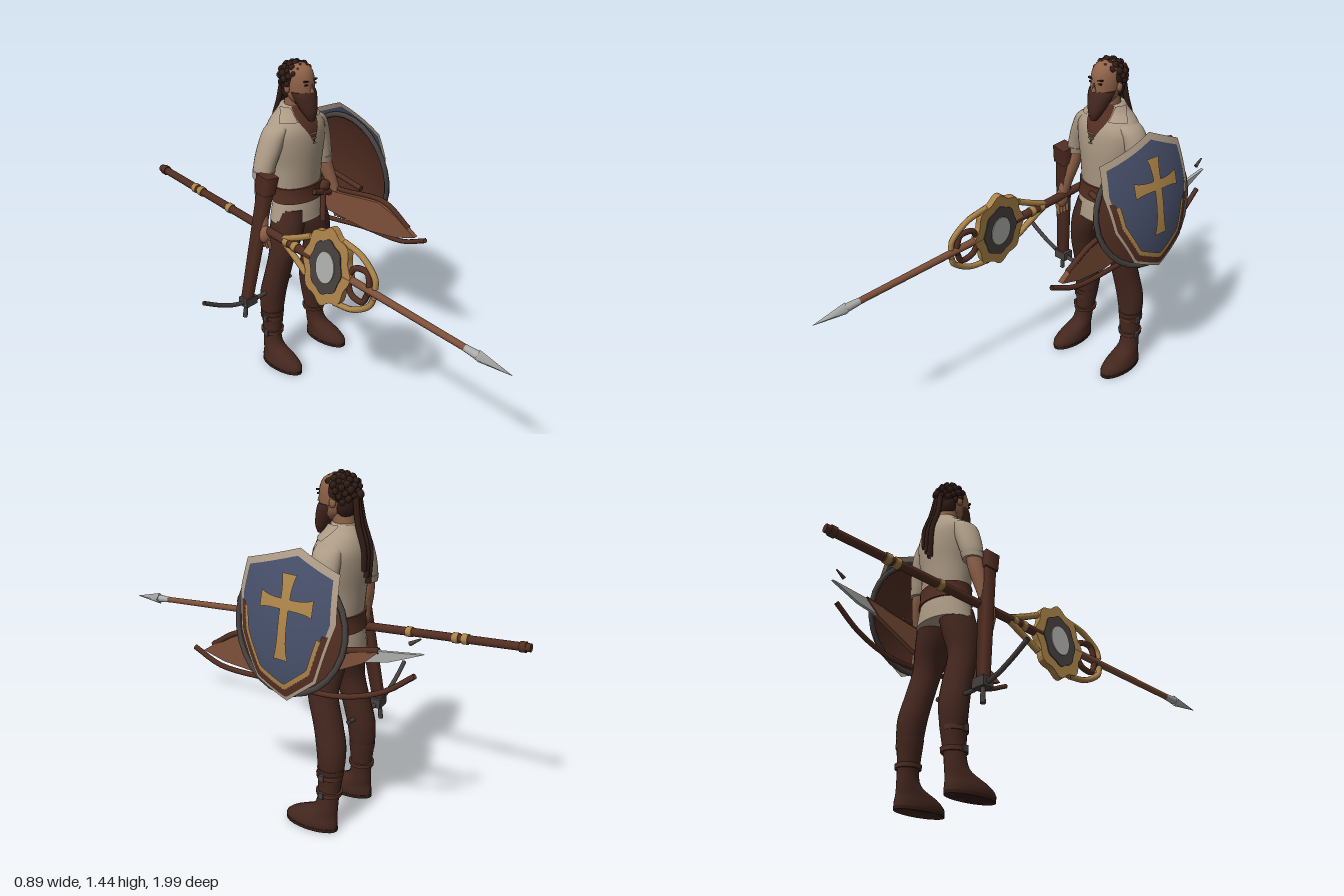
import * as THREE from 'three';
import { mergeVertices, toCreasedNormals } from 'three/addons/utils/BufferGeometryUtils.js';
import { ParametricGeometry } from 'three/addons/geometries/ParametricGeometry.js';

const V = (x, y, z) => new THREE.Vector3(x, y, z);
const CX = 0.1; // the figure's own centre line

export function createModel() {
  const root = new THREE.Group();
  const mats = {};
  const colours = {
    linen: 0xac9a85, skin: 0x8f6248, hair: 0x301c15, trouserBrown: 0x44271e, leather: 0x522e22,
    shieldBlue: 0x464f69, gold: 0xab8348, steel: 0xadadac, iron: 0x46413e, wood: 0x7d5039,
  };
  for (const k in colours) {
    mats[k] = new THREE.MeshStandardMaterial({ color: colours[k], side: THREE.DoubleSide });
    mats[k].name = k;
  }
  const add = (name, geo, mat, parent = root) => {
    const m = new THREE.Mesh(geo, mats[mat]);
    m.name = name;
    parent.add(m);
    return m;
  };

  // Smooth surface from a rule f(u, v) -> Vector3
  const sheet = (nu, nv, f) => {
    let g = new ParametricGeometry((u, v, t) => t.copy(f(u, v)), nu, nv);
    g.deleteAttribute('uv');
    g.deleteAttribute('normal');
    g = mergeVertices(g, 1e-5);
    g.computeVertexNormals();
    return toCreasedNormals(g, 1.0);
  };
  // Cross-sections [x, y, z, rx, rz], listed upwards, blended smoothly
  const profile = (secs) => {
    const a = new THREE.CatmullRomCurve3(secs.map((s) => V(s[0], s[1], s[2])), false, 'catmullrom', 0.5);
    const b = new THREE.CatmullRomCurve3(secs.map((s) => V(s[3], s[4], 0)), false, 'catmullrom', 0.5);
    return (t, angle, grow = 0) => {
      const c = a.getPoint(t), r = b.getPoint(t);
      return V(c.x + Math.cos(angle) * (r.x + grow), c.y, c.z + Math.sin(angle) * (r.y + grow));
    };
  };
  const loft = (secs, n = 20, rows = secs.length * 3, grow = 0, t0 = 0, t1 = 1) => {
    const p = profile(secs);
    return sheet(n, rows + 2, (u, v) => {
      const k = Math.round(v * (rows + 2)) - 1;
      const t = t0 + (t1 - t0) * THREE.MathUtils.clamp(k / rows, 0, 1);
      const q = p(t, -2 * Math.PI * u, grow);
      if (k < 0 || k > rows) return p(t, 0, grow).add(p(t, Math.PI, grow)).multiplyScalar(0.5);
      return q;
    });
  };
  const bar = (name, a, b, r0, r1, mat, parent = root, sides = 10) => {
    const m = add(name, new THREE.CylinderGeometry(r1, r0, a.distanceTo(b), sides), mat, parent);
    m.position.copy(a).lerp(b, 0.5);
    m.quaternion.setFromUnitVectors(V(0, 1, 0), b.clone().sub(a).normalize());
    return m;
  };
  const tube = (name, pts, r, mat, parent = root, closed = false) =>
    add(name, new THREE.TubeGeometry(new THREE.CatmullRomCurve3(pts, closed), 28, r, 7, closed), mat, parent);
  const ball = (name, p, sx, sy, sz, mat, parent = root, n = 12) => {
    const m = add(name, new THREE.SphereGeometry(1, n, Math.ceil(n * 0.7)), mat, parent);
    m.position.copy(p);
    m.scale.set(sx, sy, sz);
    return m;
  };
  const box = (name, p, w, h, d, mat, parent = root) => {
    const m = add(name, new THREE.BoxGeometry(w, h, d), mat, parent);
    m.position.copy(p);
    return m;
  };
  // Flat plate drawn in (z, y), with its thickness along x
  const plate = (name, pts, depth, mat, parent) => {
    const g = new THREE.ExtrudeGeometry(new THREE.Shape(pts.map((p) => new THREE.Vector2(...p))), { depth, bevelEnabled: false });
    g.translate(0, 0, -depth / 2).rotateY(-Math.PI / 2);
    return add(name, g, mat, parent);
  };

  // Shirt, open collar and belt
  const torso = [
    [CX, 0.74, -0.295, 0.143, 0.1], [CX, 0.8, -0.295, 0.13, 0.095], [CX, 0.87, -0.295, 0.118, 0.086],
    [CX, 0.93, -0.295, 0.121, 0.09], [CX, 1.0, -0.295, 0.127, 0.096], [CX, 1.08, -0.297, 0.143, 0.103],
    [CX, 1.15, -0.3, 0.148, 0.1], [CX, 1.195, -0.305, 0.118, 0.083], [CX, 1.225, -0.31, 0.075, 0.066], [CX, 1.25, -0.31, 0.052, 0.056],
  ];
  add('shirt', loft(torso, 32), 'linen');
  add('belt', loft(torso, 32, 6, 0.008, 1.45 / 9, 2.5 / 9), 'leather');
  const chest = profile(torso);
  const opening = (v) => 0.95 * v;
  add('neckOpening', sheet(10, 12, (u, v) =>
    chest(0.58 + 0.42 * v, Math.PI / 2 + (u * 2 - 1) * opening(v), 0.004)), 'leather');
  for (const s of [-1, 1]) {
    add('collar', sheet(6, 6, (u, v) =>
      chest(0.78 + 0.22 * v, Math.PI / 2 + s * (opening(0.5 + v / 2) + u * 0.75), 0.01 + 0.008 * v)), 'linen');
  }
  for (let i = 0; i < 3; i++) box('lace', V(CX, 1.1 + i * 0.02, -0.187 - i * 0.002), 0.014 + i * 0.01, 0.004, 0.006, 'linen');
  ball('beltKnot', V(0.185, 0.865, -0.215), 0.035, 0.03, 0.025, 'leather');
  bar('beltTail', V(0.165, 0.86, -0.198), V(0.145, 0.72, -0.185), 0.012, 0.014, 'leather');
  bar('beltLoop', V(0.1, 0.87, -0.196), V(0.21, 0.83, -0.205), 0.013, 0.016, 'leather');

  // Trousers and tall boots
  for (const s of [-1, 1]) {
    const side = (secs) => secs.map(([x, ...r]) => [CX + s * x, ...r]);
    add('trouserLeg', loft(side([
      [0.135, 0.25, -0.342, 0.046, 0.05], [0.133, 0.3, -0.343, 0.055, 0.056], [0.128, 0.37, -0.338, 0.06, 0.06],
      [0.12, 0.46, -0.318, 0.058, 0.06], [0.112, 0.58, -0.288, 0.056, 0.064], [0.085, 0.69, -0.283, 0.07, 0.08], [0.06, 0.8, -0.29, 0.065, 0.08],
    ])), 'trouserBrown');
    add('boot', loft(side([
      [0.152, 0, -0.27, 0.05, 0.115], [0.152, 0.03, -0.268, 0.053, 0.117], [0.15, 0.06, -0.285, 0.048, 0.096],
      [0.147, 0.095, -0.325, 0.042, 0.056], [0.144, 0.14, -0.337, 0.04, 0.045], [0.138, 0.2, -0.34, 0.044, 0.048],
      [0.135, 0.26, -0.342, 0.051, 0.054], [0.135, 0.28, -0.342, 0.053, 0.056],
    ])), 'trouserBrown');
    const sole = add('sole', new THREE.CylinderGeometry(1, 1, 0.014, 24), 'hair');
    sole.position.set(CX + s * 0.152, 0.007, -0.268);
    sole.scale.set(0.053, 1, 0.118);
    for (const y of [0.16, 0.24]) {
      add('bootStrap', loft(side([[0.141, y, -0.34, 0.05, 0.053], [0.14, y + 0.018, -0.34, 0.052, 0.055]]), 18, 2), 'leather');
      box('buckle', V(CX + s * 0.19, y + 0.01, -0.33), 0.012, 0.026, 0.022, 'iron');
    }
  }

  // Arms: rolled sleeve, forearm and fist
  const arm = (pre, sleeve, fore, cuff, hand) => {
    add(pre + 'Sleeve', loft(sleeve), 'linen');
    add(pre + 'Cuff', loft(cuff, 18, 3), 'linen');
    add(pre + 'Forearm', loft(fore), 'skin');
    ball(pre + 'Hand', hand, 0.026, 0.045, 0.034, 'skin');
    for (let i = 0; i < 4; i++) {
      const z = hand.z + 0.027 - i * 0.018;
      bar(pre + 'Finger', V(hand.x, hand.y - 0.02, z), V(hand.x + 0.01, hand.y - 0.07, z), 0.01, 0.007, 'skin');
    }
  };
  arm('right',
    [[-0.088, 0.98, -0.31, 0.042, 0.046], [-0.073, 1.03, -0.31, 0.047, 0.052], [-0.045, 1.1, -0.305, 0.05, 0.058], [-0.015, 1.165, -0.3, 0.046, 0.056], [0.025, 1.195, -0.3, 0.03, 0.04]],
    [[-0.14, 0.74, -0.275, 0.02, 0.025], [-0.125, 0.82, -0.285, 0.026, 0.03], [-0.105, 0.91, -0.3, 0.033, 0.036], [-0.09, 0.99, -0.31, 0.032, 0.035]],
    [[-0.09, 0.97, -0.31, 0.043, 0.046], [-0.083, 1.0, -0.31, 0.047, 0.052]], V(-0.138, 0.735, -0.268));
  arm('left',
    [[0.27, 0.95, -0.3, 0.036, 0.042], [0.262, 1.02, -0.303, 0.043, 0.05], [0.243, 1.1, -0.305, 0.048, 0.057], [0.215, 1.165, -0.3, 0.046, 0.056], [0.175, 1.195, -0.3, 0.03, 0.04]],
    [[0.322, 0.74, -0.255, 0.02, 0.025], [0.308, 0.81, -0.27, 0.025, 0.03], [0.287, 0.9, -0.29, 0.031, 0.035], [0.272, 0.97, -0.3, 0.03, 0.034]],
    [[0.273, 0.94, -0.3, 0.038, 0.043], [0.268, 0.97, -0.3, 0.041, 0.048]], V(0.324, 0.715, -0.25));

  // Head, face and beard
  add('neck', loft([[CX, 1.18, -0.31, 0.046, 0.05], [CX, 1.24, -0.305, 0.041, 0.044], [CX, 1.32, -0.29, 0.042, 0.045]]), 'skin');
  add('face', loft([
    [CX, 1.255, -0.25, 0.026, 0.035], [CX, 1.285, -0.262, 0.048, 0.06], [CX, 1.33, -0.272, 0.057, 0.072],
    [CX, 1.375, -0.277, 0.058, 0.075], [CX, 1.41, -0.28, 0.048, 0.062], [CX, 1.43, -0.283, 0.02, 0.03],
  ]), 'skin');
  add('beard', loft([
    [CX, 1.195, -0.205, 0.012, 0.014], [CX, 1.225, -0.213, 0.03, 0.03], [CX, 1.265, -0.23, 0.046, 0.044],
    [CX, 1.3, -0.244, 0.057, 0.05], [CX, 1.318, -0.252, 0.058, 0.05],
  ]), 'trouserBrown');
  const nose = add('nose', new THREE.ConeGeometry(0.011, 0.04, 6), 'skin');
  nose.position.set(CX, 1.337, -0.198);
  for (const s of [-1, 1]) {
    box('eye', V(CX + s * 0.024, 1.351, -0.207), 0.016, 0.006, 0.008, 'hair');
    box('brow', V(CX + s * 0.025, 1.366, -0.207), 0.024, 0.006, 0.01, 'hair').rotation.z = s * 0.12;
    ball('ear', V(CX + s * 0.06, 1.33, -0.285), 0.01, 0.02, 0.014, 'skin');
  }

  // Curly hair with a small knot and braids behind
  ball('hairCap', V(CX, 1.367, -0.291), 0.064, 0.067, 0.066, 'hair', root, 20);
  ball('hairBack', V(CX, 1.32, -0.312), 0.055, 0.06, 0.042, 'hair');
  let seed = 7;
  const rnd = () => (seed = (seed * 16807) % 2147483647) / 2147483647;
  for (let i = 0; i < 64; i++) {
    const a = i * 2.4, h = 1 - (i / 64) * 1.65, r = Math.sqrt(Math.max(0, 1 - h * h));
    const d = V(Math.cos(a) * r, h, Math.sin(a) * r);
    if (d.z > 0.25 && d.y < 0.42) continue; // keep the face clear
    const k = 0.011 + 0.006 * rnd();
    ball('curl', V(CX + d.x * 0.063, 1.367 + d.y * 0.061, -0.291 + d.z * 0.066), k, k, k, 'hair', root, 7);
  }
  ball('hairKnot', V(CX, 1.36, -0.368), 0.018, 0.018, 0.014, 'hair');
  for (const s of [-1, 0, 1]) {
    tube('braid', [V(CX + s * 0.012, 1.36, -0.355), V(CX + s * 0.022, 1.26, -0.372), V(CX + s * 0.026, 1.16, -0.402), V(CX + s * 0.02, 1.05 + 0.03 * s, -0.402)], 0.012, 'hair');
  }

  // Shield: all layers lie on one leaning, domed surface
  const surf = (z, y, off) => {
    const e = ((z + 0.225) / 0.235) ** 2 + ((y - 0.91) / 0.29) ** 2;
    return V(0.375 - 0.16 * (y - 0.905) - 0.1 * (z + 0.225) + 0.05 * (1 - e) + off, y, z);
  };
  const rim = [[-0.01, 1.12], [-0.26, 1.2], [-0.43, 1.13], [-0.445, 0.96], [-0.385, 0.735], [-0.26, 0.635], [-0.12, 0.695], [-0.03, 0.855], [0, 1.01]];
  const band = (name, mat, s0, s1, off, u0 = 0, u1 = 1) => add(name, sheet(45, 8, (u, v) => {
    const k = (u0 + (u1 - u0) * u) * 9, i = Math.floor(k + 1e-6), f = k - i, a = rim[i % 9], b = rim[(i + 1) % 9];
    const s = s0 + (s1 - s0) * v;
    return surf(-0.225 + s * (a[0] + (b[0] - a[0]) * f + 0.225), 0.93 + s * (a[1] + (b[1] - a[1]) * f - 0.93), off);
  }), mat);
  band('shieldField', 'shieldBlue', 0, 0.92, 0.008);
  band('shieldRim', 'linen', 0.9, 1, 0.011);
  band('shieldBorder', 'leather', 0.84, 0.95, 0.013, 3.2 / 9, 7.8 / 9);
  band('shieldStripe', 'gold', 0.77, 0.85, 0.013, 3.3 / 9, 7.7 / 9);
  const flare = (t) => 0.019 + 0.013 * (2 * t - 1) ** 4;
  add('crossUpright', sheet(4, 14, (u, v) => surf(-0.24 + (1 - 2 * u) * flare(v), 0.8 + 0.31 * v, 0.014)), 'gold');
  add('crossArms', sheet(14, 4, (u, v) => surf(-0.125 - 0.23 * u, 1.005 + (2 * v - 1) * flare(u), 0.0145)), 'gold');
  const round = (a, r, off) => surf(-0.225 + Math.cos(a) * r, 0.9 + Math.sin(a) * r, off);
  add('shieldBacking', sheet(36, 8, (u, v) => round(-u * 2 * Math.PI, v * 0.25, -0.014)), 'leather');
  tube('backingRim', Array.from({ length: 24 }, (_, i) => round((i / 24) * 2 * Math.PI, 0.246, -0.012)), 0.012, 'iron', root, true);
  bar('armStrap', V(0.33, 0.83, -0.12), V(0.35, 0.86, -0.33), 0.012, 0.012, 'leather');

  // Spear, modelled along its own z axis
  const spear = new THREE.Group();
  spear.name = 'spear';
  root.add(spear);
  spear.position.set(-0.14, 0.7275, 0);
  spear.lookAt(-0.18, 0.635, 1);
  const Z = (z) => V(0, 0, z);
  bar('frontShaft', Z(0), Z(0.86), 0.017, 0.013, 'wood', spear);
  bar('rearShaft', Z(-1), Z(0.02), 0.017, 0.019, 'leather', spear);
  bar('spearSocket', Z(0.8), Z(0.87), 0.014, 0.018, 'steel', spear);
  bar('spearHead', Z(0.86), Z(1.002), 0.027, 0.001, 'steel', spear, 4);
  for (const z of [-0.97, -0.74, -0.7, -0.5, -0.13, -0.08]) bar('shaftRing', Z(z - 0.012), Z(z + 0.012), 0.022, 0.022, z < -0.9 ? 'leather' : 'gold', spear);
  const oval = (cz, rz, ry, wave) => Array.from({ length: 64 }, (_, i) => {
    const a = (i / 64) * 2 * Math.PI, k = 1 + wave * Math.cos(8 * a);
    return [cz + Math.cos(a) * rz * k, Math.sin(a) * ry * k];
  });
  const crest = new THREE.Group();
  crest.name = 'spearCrest';
  crest.rotation.z = -0.12;
  spear.add(crest);
  plate('crestPlate', oval(0.11, 0.125, 0.168, 0.06), 0.03, 'gold', crest);
  plate('crestInset', oval(0.11, 0.085, 0.12, 0.04), 0.038, 'iron', crest);
  plate('crestCentre', oval(0.11, 0.05, 0.07, 0), 0.046, 'steel', crest);
  for (const s of [-1, 1]) {
    tube('outerHook', [V(0, s * 0.14, 0.17), V(0, s * 0.12, 0.27), V(0, s * 0.06, 0.35), V(0, s * 0.02, 0.36)], 0.013, 'gold', crest);
    tube('innerHook', [V(0, s * 0.01, 0.22), V(0, s * 0.06, 0.25), V(0, s * 0.065, 0.31), V(0, s * 0.015, 0.33)], 0.013, 'leather', crest);
    tube('rearHook', [V(0, s * 0.09, 0), V(0, s * 0.05, -0.07), V(0, s * 0.01, -0.15)], 0.014, 'gold', crest);
  }

  // Broad blade hanging behind the shield
  const blade = new THREE.Group();
  blade.name = 'sideBlade';
  blade.rotation.y = 0.042;
  blade.position.x = 0.312;
  root.add(blade);
  plate('bladeBody', [[0.2, 0.7], [0.1, 0.77], [0, 0.81], [-0.25, 0.79], [-0.56, 0.845], [-0.5, 0.79], [-0.3, 0.69], [-0.05, 0.655], [0.1, 0.67]], 0.024, 'wood', blade);
  plate('bladeTip', [[-0.48, 0.84], [-0.73, 0.87], [-0.6, 0.815], [-0.48, 0.79]], 0.014, 'steel', blade);
  tube('lowerGuard', [V(0, 0.7, 0.25), V(0.01, 0.65, 0.12), V(0.02, 0.645, -0.1), V(0.01, 0.635, -0.4), V(0, 0.69, -0.58), V(0, 0.78, -0.7)], 0.011, 'leather', blade);
  tube('upperGuard', [V(0, 0.73, 0.16), V(0.01, 0.81, 0.02), V(0.01, 0.8, -0.25), V(0, 0.85, -0.56)], 0.012, 'leather', blade);
  bar('guardBarb', V(0, 0.9, -0.675), V(0, 0.925, -0.715), 0.009, 0.003, 'iron', blade);

  // Crossbow hanging beside the right leg
  const stock = new THREE.Group();
  stock.name = 'crossbow';
  root.add(stock);
  const top = V(-0.115, 1.0, -0.255), low = V(-0.195, 0.38, -0.34);
  bar('crossbowStock', top, low, 0.037, 0.027, 'leather', stock, 4).rotateY(Math.PI / 4);
  bar('stockButt', top, top.clone().lerp(low, 0.13), 0.048, 0.044, 'leather', stock, 4).rotateY(Math.PI / 4);
  box('bowMount', V(-0.188, 0.395, -0.335), 0.065, 0.04, 0.05, 'iron', stock);
  bar('stirrupRod', low, V(-0.203, 0.31, -0.345), 0.009, 0.011, 'iron', stock);
  const limb = [V(-0.435, 0.49, -0.34), V(-0.34, 0.435, -0.34), V(-0.25, 0.4, -0.337), V(-0.12, 0.385, -0.333), V(-0.02, 0.393, -0.333), V(0.08, 0.408, -0.333)];
  tube('bowLimbs', limb, 0.01, 'iron', stock);
  return root;
}
